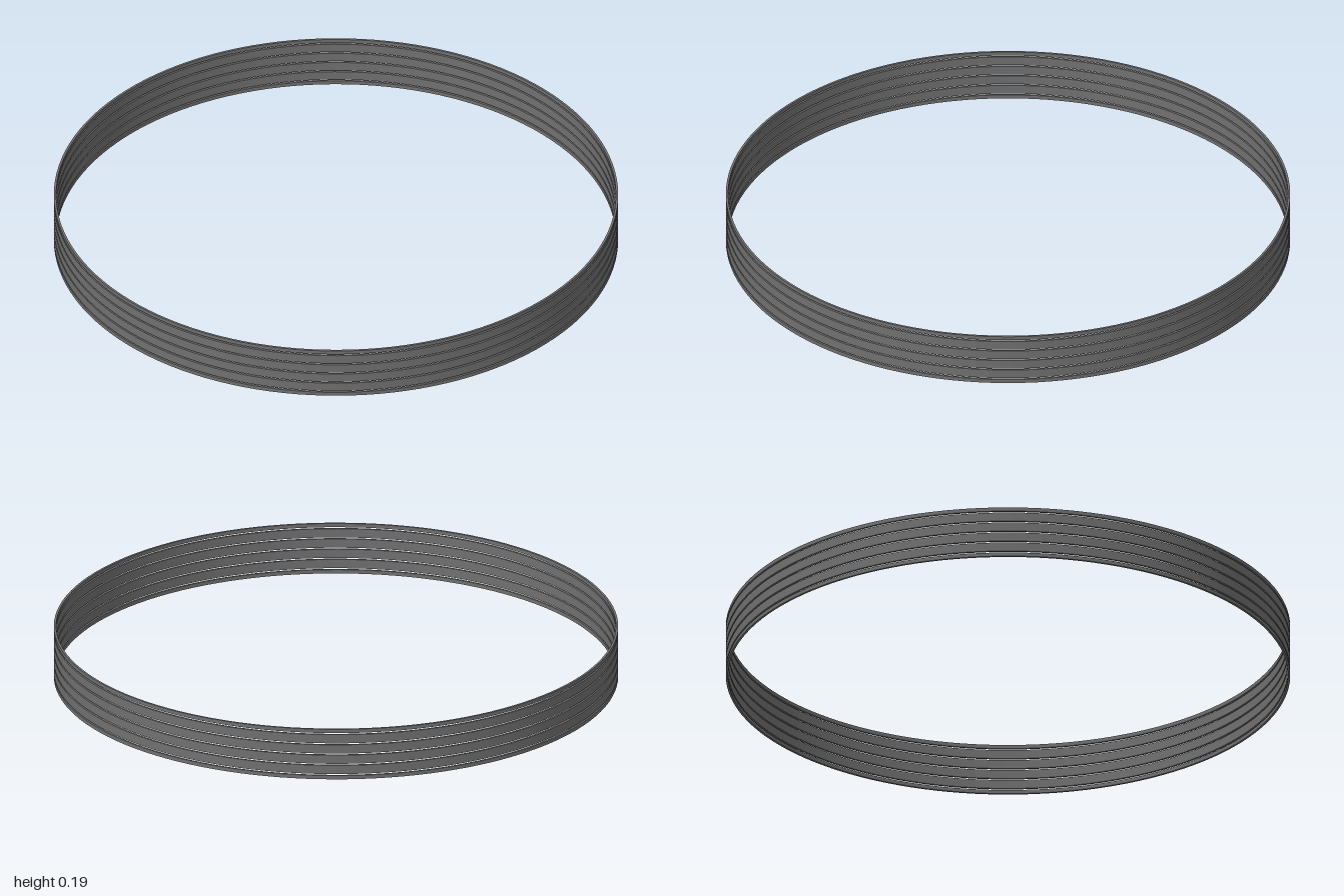
import * as THREE from 'three';
import { toCreasedNormals } from 'three/addons/utils/BufferGeometryUtils.js';

const OUTER = 1, WALL = 0.008, HEIGHT = 0.19, GAP = 0.006, PITCH = 0.039;
const SEGMENTS = 128;

// Closed hoop with a rectangular section between two heights
function hoop(name, y0, y1, material) {
  const inner = OUTER - WALL;
  const profile = [[OUTER, y0], [OUTER, y1], [inner, y1], [inner, y0], [OUTER, y0]]
    .map(([r, y]) => new THREE.Vector2(r, y));
  const geometry = toCreasedNormals(new THREE.LatheGeometry(profile, SEGMENTS), Math.PI / 6);
  const mesh = new THREE.Mesh(geometry, material);
  mesh.name = name;
  return mesh;
}

export function createModel() {
  const group = new THREE.Group();
  group.name = 'slottedRing';
  const material = new THREE.MeshStandardMaterial({ color: 0x707070 });

  // Five narrow see-through slots split the wall: thin rims, four wide bands
  const slots = [-2, -1, 0, 1, 2].map((i) => HEIGHT / 2 + i * PITCH);
  const names = ['bottomRim', 'band1', 'band2', 'band3', 'band4', 'topRim'];
  names.forEach((name, i) => {
    const y0 = i === 0 ? 0 : slots[i - 1] + GAP / 2;
    const y1 = i === slots.length ? HEIGHT : slots[i] - GAP / 2;
    group.add(hoop(name, y0, y1, material));
  });
  return group;
}
